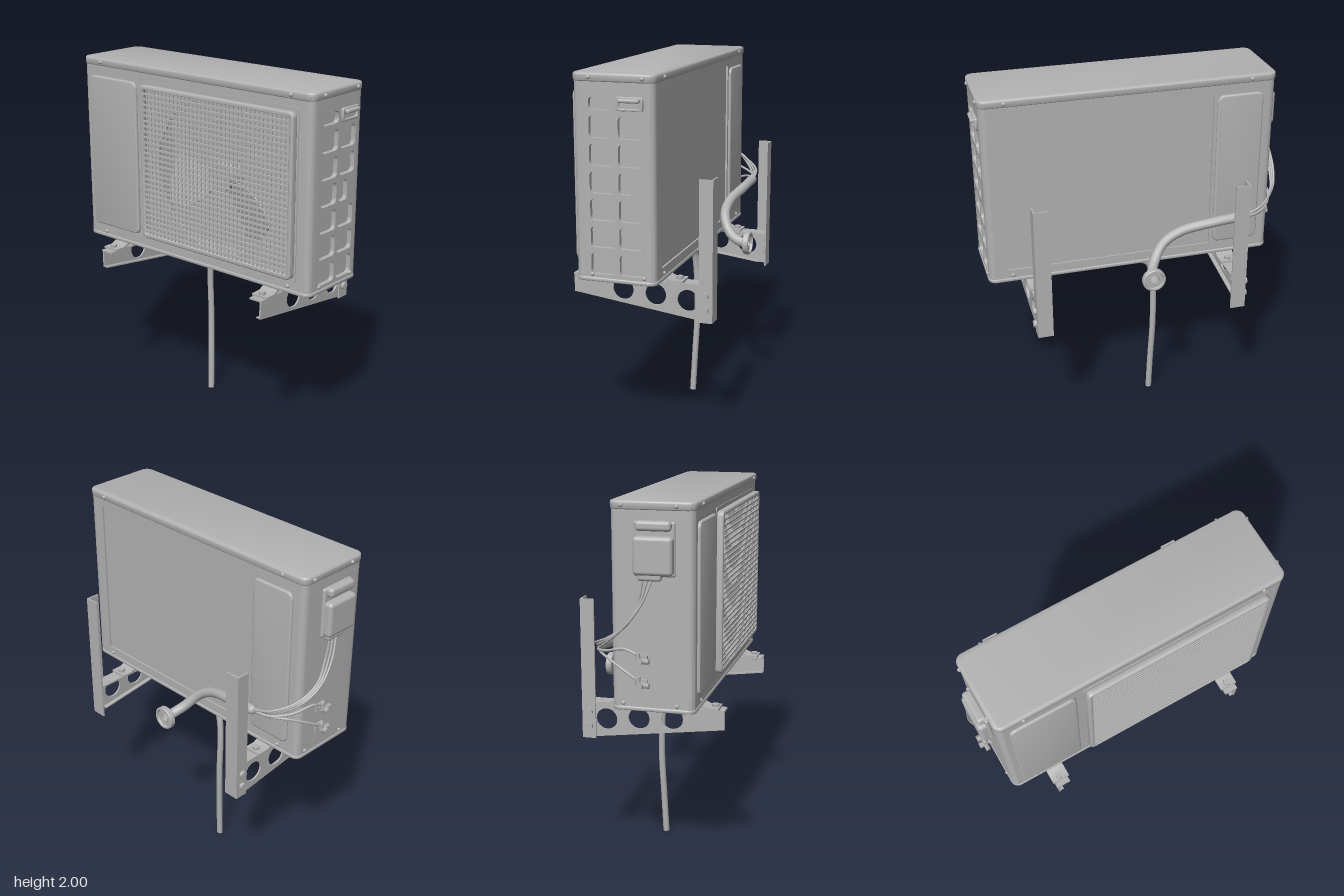
import * as THREE from 'three';
import { mergeGeometries, toCreasedNormals } from 'three/addons/utils/BufferGeometryUtils.js';
import { RoundedBoxGeometry } from 'three/addons/geometries/RoundedBoxGeometry.js';

const V = (x, y, z) => new THREE.Vector3(x, y, z);
const X0 = -0.29, X1 = 0.14, Z0 = -0.79, Z1 = 0.82; // cabinet faces
const MID_Z = 0.0125, FAN_Z = 0.205, FAN_Y = 1.465;

// Rounded rectangle between two corners
function roundRect(x0, y0, x1, y1, r, Kind = THREE.Shape) {
  const s = new Kind();
  s.absarc(x1 - r, y0 + r, r, -Math.PI / 2, 0);
  s.absarc(x1 - r, y1 - r, r, 0, Math.PI / 2);
  s.absarc(x0 + r, y1 - r, r, Math.PI / 2, Math.PI);
  s.absarc(x0 + r, y0 + r, r, Math.PI, Math.PI * 1.5);
  s.closePath();
  return s;
}

function extrude(shape, depth, bevel = 0) {
  const g = new THREE.ExtrudeGeometry(shape, {
    depth: depth - 2 * bevel, curveSegments: 10, bevelEnabled: bevel > 0,
    bevelSize: bevel, bevelThickness: bevel, bevelOffset: -bevel, bevelSegments: 4,
  });
  return toCreasedNormals(g.translate(0, 0, bevel), 0.6);
}
// Shape in (x, z), raised from y0 to y1
const slabY = (s, y0, y1, b) => extrude(s, y1 - y0, b).rotateX(Math.PI / 2).translate(0, y1, 0);
// Shape in (z, y), running from x1 down to x0
const slabX = (s, x0, x1, b) => extrude(s, x1 - x0, b).rotateY(-Math.PI / 2).scale(1, 1, 1).translate(x1, 0, 0);

// Cabinet plan: recess for the vent plate, and optionally for fan and rear coil
function plan(recessed) {
  const r = 0.04, s = new THREE.Shape();
  s.moveTo(X0 + r, Z0);
  s.lineTo(X1 - r, Z0);
  s.quadraticCurveTo(X1, Z0, X1, Z0 + r);
  if (recessed) [[X1, -0.44], [X1 - 0.01, -0.44], [X1 - 0.01, 0.72], [X1, 0.72]].forEach(p => s.lineTo(...p));
  s.lineTo(X1, Z1 - r);
  s.quadraticCurveTo(X1, Z1, X1 - r, Z1);
  [[0.095, Z1], [0.095, Z1 - 0.025], [-0.225, Z1 - 0.025], [-0.225, Z1]].forEach(p => s.lineTo(...p));
  s.lineTo(X0 + r, Z1);
  s.quadraticCurveTo(X0, Z1, X0, Z1 - r);
  if (recessed) [[X0, 0.71], [X0 + 0.2, 0.71], [X0 + 0.2, -0.3], [X0, -0.3]].forEach(p => s.lineTo(...p));
  s.lineTo(X0, Z0 + r);
  s.quadraticCurveTo(X0, Z0, X0 + r, Z0);
  return s;
}

export function createModel() {
  const model = new THREE.Group();
  const grey = new THREE.MeshStandardMaterial({ color: 0xb2b2b2, side: THREE.DoubleSide });
  grey.name = 'light grey';
  const add = (name, geo, parent = model) => {
    const m = new THREE.Mesh(geo, grey);
    m.name = name;
    parent.add(m);
    return m;
  };
  const box = (w, h, d, x, y, z) => new THREE.BoxGeometry(w, h, d).translate(x, y, z);
  const tube = (name, pts, r, seg = 48) => add(name, new THREE.TubeGeometry(
    new THREE.CatmullRomCurve3(pts.map(p => V(...p))), seg, r, 12));
  const dome = (name, x, y, z, r, parent) => add(name, new THREE.SphereGeometry(r, 12, 8), parent).position.set(x, y, z);

  // Cabinet, lid and base pan
  add('cabinetBottom', slabY(plan(false), 0.95, 1.01));
  add('cabinetMiddle', slabY(plan(true), 1.01, 1.915));
  add('cabinetTop', slabY(plan(false), 1.915, 1.96));
  add('lid', slabY(roundRect(X0 - 0.006, Z0 - 0.006, X1 + 0.006, Z1 + 0.006, 0.045), 1.955, 2, 0.012));
  add('basePan', slabY(roundRect(X0 - 0.004, Z0 - 0.004, X1 + 0.004, Z1 + 0.004, 0.044), 0.94, 0.962, 0.006));

  // End plate with rounded vents
  const plate = roundRect(-0.225, 0.955, 0.095, 1.96, 0.002);
  const vent = (x0, y0, x1, y1) => plate.holes.push(roundRect(x0, y0, x1, y1, 0.022, THREE.Path));
  for (let i = 0; i < 6; i++) {
    const y = 0.98 + i * 0.14;
    vent(-0.205, y, -0.07, y + 0.11);
    vent(-0.05, y, i === 3 ? 0.025 : 0.08, y + 0.11);
  }
  vent(-0.205, 1.82, -0.07, 1.882);
  add('ventPlate', extrude(plate, 0.025).translate(0, 0, Z1 - 0.025));

  // Carrying handle
  const handle = roundRect(-0.055, 1.82, 0.085, 1.89, 0.008);
  handle.holes.push(roundRect(-0.04, 1.832, 0.07, 1.874, 0.006, THREE.Path));
  add('handleFrame', extrude(handle, 0.016, 0.004).translate(0, 0, Z1 - 0.001));
  add('handleLip', new RoundedBoxGeometry(0.11, 0.02, 0.035, 3, 0.008)).position.set(0.015, 1.872, Z1 + 0.017);

  // Fan panel with round opening
  const fanPanel = roundRect(-0.33, 1.005, 0.74, 1.92, 0.02);
  const opening = new THREE.Path();
  opening.absarc(FAN_Z, FAN_Y, 0.42, 0, Math.PI * 2);
  fanPanel.holes.push(opening);
  add('fanPanel', slabX(fanPanel, X0 - 0.004, X0 + 0.01));

  // Fan with three twisted blades
  const fan = new THREE.Group();
  fan.name = 'fan';
  fan.position.set(X0 + 0.07, FAN_Y, FAN_Z);
  add('hub', new THREE.CylinderGeometry(0.08, 0.09, 0.1, 28).rotateZ(Math.PI / 2), fan);
  const bladeShape = new THREE.Shape();
  bladeShape.moveTo(-0.05, 0.05);
  bladeShape.bezierCurveTo(-0.16, 0.16, -0.2, 0.3, -0.12, 0.38);
  bladeShape.bezierCurveTo(0, 0.42, 0.12, 0.38, 0.15, 0.32);
  bladeShape.bezierCurveTo(0.08, 0.25, 0.06, 0.15, 0.05, 0.05);
  for (let i = 0; i < 3; i++) {
    const blade = extrude(bladeShape, 0.008).rotateY(-Math.PI / 2).rotateY(0.35);
    add('blade', blade.rotateX(i * Math.PI * 2 / 3 + 0.3), fan);
  }
  model.add(fan);

  // Raised grille: frame and crossed bars
  const frame = roundRect(-0.32, 1.025, 0.73, 1.9, 0.03);
  frame.holes.push(roundRect(-0.295, 1.05, 0.705, 1.875, 0.015, THREE.Path));
  add('grilleFrame', slabX(frame, -0.329, X0, 0.008));
  const bars = [];
  for (let i = 0; i <= 28; i++) bars.push(box(0.012, 0.009, 1.01, -0.324, 1.043 + i * 0.03, FAN_Z));
  for (let i = 0; i <= 36; i++) bars.push(box(0.008, 0.84, 0.008, -0.32, 1.4625, -0.295 + i / 36));
  add('grilleBars', mergeGeometries(bars));

  // Raised service panels beside the grille and the rear coil
  add('servicePanel', slabX(roundRect(-0.735, 1.02, -0.37, 1.9, 0.035), X0 - 0.016, X0 + 0.01, 0.01));
  add('rearPanel', slabX(roundRect(-0.72, 1.02, -0.46, 1.9, 0.035), X1 - 0.01, X1 + 0.014, 0.01));

  // Cabinet screws
  for (const y of [1.978, 0.978]) {
    const out = y > 1.5 ? 0.006 : 0;
    for (const z of [0.69, -0.65]) {
      dome('screw', X1 + out, y, z, 0.011);
      dome('screw', X0 - out, y, z, 0.011);
    }
    for (const x of [-0.2, 0.08]) {
      dome('screw', x, y, Z1 + out, 0.011);
      dome('screw', x, y, Z0 - out, 0.011);
    }
  }

  // Terminal cover: hood over a tapered box
  const cover = new THREE.Group();
  cover.name = 'terminalCover';
  add('backPlate', new RoundedBoxGeometry(0.21, 0.27, 0.025, 3, 0.012), cover).position.set(-0.09, 1.77, Z0 - 0.008);
  add('coverBox', new RoundedBoxGeometry(0.2, 0.19, 0.06, 4, 0.02), cover).position.set(-0.09, 1.74, Z0 - 0.032);
  add('coverHood', new RoundedBoxGeometry(0.18, 0.05, 0.055, 4, 0.018), cover).position.set(-0.09, 1.885, Z0 - 0.025);
  add('coverNeck', new RoundedBoxGeometry(0.12, 0.05, 0.045, 3, 0.015), cover).position.set(-0.07, 1.64, Z0 - 0.022);
  model.add(cover);

  // Service valves
  for (const y of [1.21, 1.085]) {
    const valve = new THREE.Group();
    valve.name = 'valve';
    valve.position.set(-0.02, y, Z0);
    const part = (name, g) => add(name, g, valve);
    part('base', box(0.06, 0.05, 0.012, 0, 0, -0.004));
    part('body', new THREE.CylinderGeometry(0.014, 0.014, 0.05, 12).rotateX(Math.PI / 2).translate(0, 0, -0.028));
    part('cap', new THREE.CylinderGeometry(0.019, 0.019, 0.022, 6).rotateX(Math.PI / 2).translate(0, 0, -0.055));
    part('sideCap', new THREE.CylinderGeometry(0.014, 0.014, 0.04, 6).rotateZ(Math.PI / 2).translate(-0.025, 0, -0.032));
    part('outlet', new THREE.CylinderGeometry(0.012, 0.012, 0.045, 10).translate(0.012, 0.02, -0.032));
    model.add(valve);
  }

  // Cables and thin copper pipes meeting in the insulated pipe
  for (let i = -1; i <= 1; i++) {
    const d = i * 0.012;
    tube('cable', [[-0.06 + d * 2, 1.63, -0.82], [-0.02 + d, 1.5, -0.83 + d], [0.05, 1.39, -0.835 + d],
      [0.15 + d, 1.31, -0.8 + d], [0.24 + d, 1.25 + d, -0.7], [0.262 + d, 1.22, -0.56]], 0.0065);
  }
  tube('copperPipe', [[-0.005, 1.24, -0.822], [0.06, 1.265, -0.815], [0.17, 1.24, -0.77], [0.245, 1.22, -0.68], [0.262, 1.215, -0.56]], 0.007);
  tube('copperPipe', [[-0.005, 1.11, -0.822], [0.06, 1.15, -0.815], [0.17, 1.2, -0.76], [0.245, 1.21, -0.66], [0.262, 1.21, -0.56]], 0.007);
  tube('insulatedPipe', [[0.262, 1.22, -0.58], [0.25, 1.2, -0.42], [0.215, 1.15, -0.24], [0.22, 1.09, -0.14],
    [0.27, 1.01, -0.075], [0.33, 0.975, -0.045], [0.392, 0.968, -0.04]], 0.028);
  dome('pipeEnd', 0.262, 1.22, -0.575, 0.027);

  // Wall collar around the pipe end
  const collar = new THREE.LatheGeometry([[0.028, 0], [0.058, 0], [0.065, 0.006], [0.065, 0.03], [0.06, 0.035],
    [0.052, 0.035], [0.048, 0.022], [0.02, 0.022]].map(p => new THREE.Vector2(...p)), 36);
  add('wallCollar', toCreasedNormals(collar, 0.6).rotateZ(-Math.PI / 2)).position.set(0.365, 0.968, -0.04);

  // Drain hose
  tube('drainHose', [[0.035, 0.95, 0.045], [0.035, 0.915, 0.025], [0.038, 0.905, -0.05], [0.042, 0.875, -0.11],
    [0.048, 0.78, -0.135], [0.056, 0.5, -0.138], [0.045, 0.22, -0.128], [0.035, 0.001, -0.122]], 0.018, 64);

  // Wall brackets with feet, the second one mirrored
  for (const side of [1, -1]) {
    const bracket = new THREE.Group();
    bracket.name = 'wallBracket';
    const webShape = new THREE.Shape([[-0.4, 0.8], [0.37, 0.7], [0.37, 0.9], [-0.4, 0.9]].map(p => new THREE.Vector2(...p)));
    for (const [x, y] of [[-0.12, 0.84], [0.062, 0.828], [0.24, 0.812]]) {
      const hole = new THREE.Path();
      hole.absarc(x, y, 0.058, 0, Math.PI * 2);
      webShape.holes.push(hole);
    }
    const z = c => MID_Z + side * c;
    add('web', extrude(webShape, 0.01).translate(0, 0, z(0.585) - 0.005), bracket);
    add('topFlange', box(0.77, 0.01, 0.08, -0.015, 0.9, z(0.555)), bracket);
    const lip = add('bottomLip', box(0.72, 0.008, 0.03, 0, 0, 0), bracket);
    lip.position.set(-0.04, 0.757, z(0.573));
    lip.rotation.z = -0.129;
    add('uprightBack', box(0.01, 0.76, 0.085, 0.37, 1.08, z(0.555)), bracket);
    add('uprightSide', box(0.075, 0.76, 0.01, 0.3375, 1.08, z(0.5925)), bracket);
    for (const y of [0.77, 0.848]) {
      add('bolt', new THREE.CylinderGeometry(0.02, 0.02, 0.02, 16).rotateX(Math.PI / 2), bracket).position.set(0.335, y, z(0.605));
      add('nut', new THREE.CylinderGeometry(0.016, 0.016, 0.016, 6).rotateX(Math.PI / 2), bracket).position.set(0.335, y, z(0.573));
    }

    // Foot strip under the cabinet with its fixing bolts
    const foot = new THREE.Shape([[-0.37, 0.905], [-0.3, 0.905], [-0.25, 0.93], [0.09, 0.93], [0.14, 0.905], [0.215, 0.905],
      [0.215, 0.917], [0.15, 0.917], [0.1, 0.942], [-0.26, 0.942], [-0.31, 0.917], [-0.37, 0.917]].map(p => new THREE.Vector2(...p)));
    add('foot', extrude(foot, 0.1).translate(0, 0, z(0.555) - 0.05), bracket);
    for (const x of [-0.345, 0.185]) {
      add('footBolt', new THREE.CylinderGeometry(0.02, 0.02, 0.02, 6), bracket).position.set(x, 0.922, z(0.555));
      add('footNut', new THREE.CylinderGeometry(0.016, 0.016, 0.025, 6), bracket).position.set(x, 0.89, z(0.555));
    }
    model.add(bracket);
  }
  return model;
}
